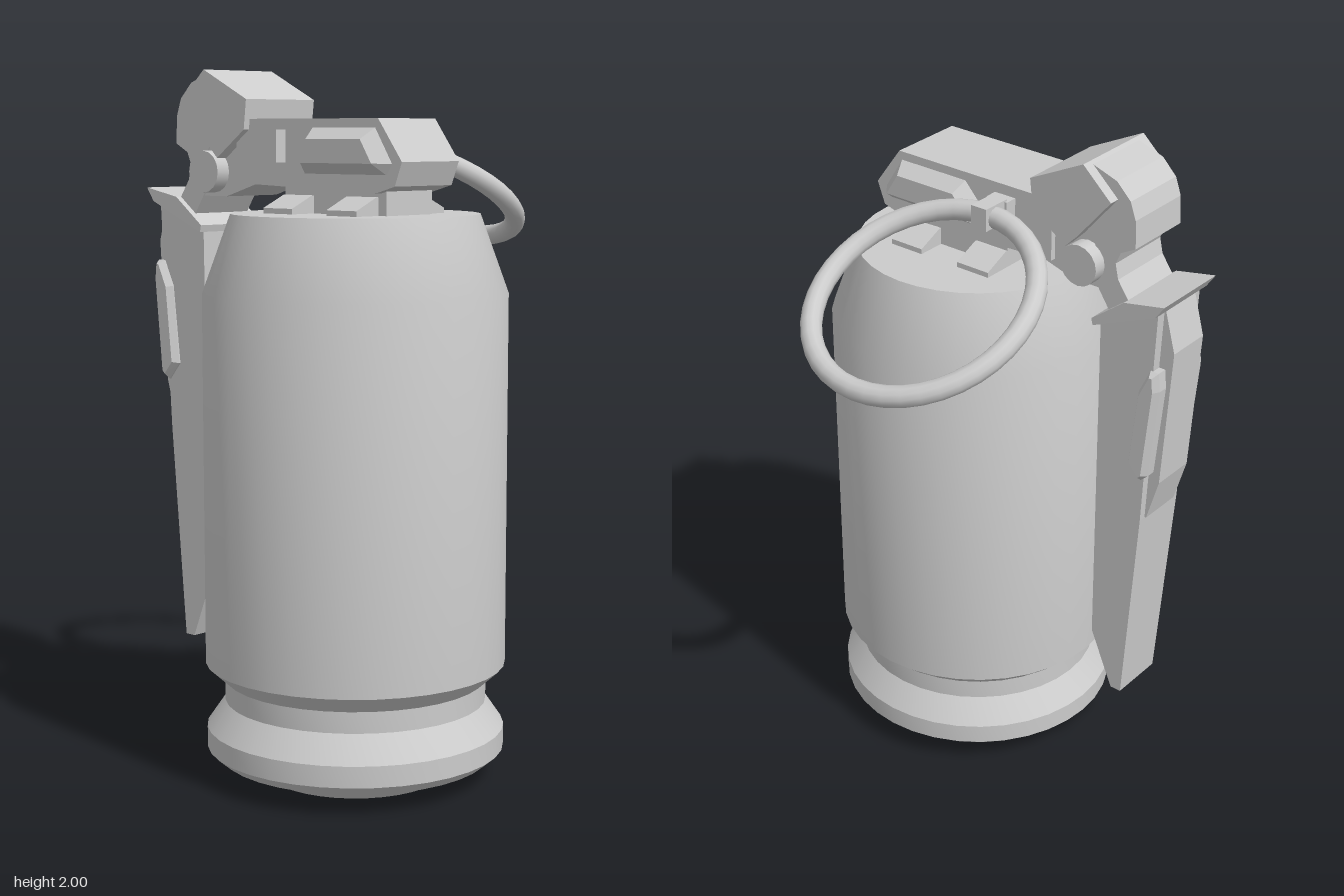
import * as THREE from 'three';
import { toCreasedNormals } from 'three/addons/utils/BufferGeometryUtils.js';

const CX = -0.18; // middle plane of the canister and its mechanism
const CZ = 0.15;

export function createModel() {
  const model = new THREE.Group();
  const material = new THREE.MeshStandardMaterial({ color: 0xcccccc });

  function add(name, geometry, x = 0, y = 0, z = 0) {
    const mesh = new THREE.Mesh(geometry, material);
    mesh.name = name;
    mesh.position.set(x, y, z);
    model.add(mesh);
    return mesh;
  }
  const toShape = (points) => new THREE.Shape(points.map(([a, b]) => new THREE.Vector2(a, b)));

  // Side profile of [z, y] points, extruded across x about the middle plane
  function slab(name, points, width, bevel = 0, inset = bevel) {
    const depth = width - 2 * bevel;
    const geometry = new THREE.ExtrudeGeometry(toShape(points), {
      depth, bevelEnabled: bevel > 0, bevelThickness: bevel,
      bevelSize: inset, bevelOffset: -inset, bevelSegments: 1,
    });
    geometry.translate(0, 0, -depth / 2);
    geometry.rotateY(-Math.PI / 2);
    return add(name, geometry, CX);
  }
  const box = (name, w, h, d, x, y, z) => add(name, new THREE.BoxGeometry(w, h, d), x, y, z);

  // Canister with grooved base and sloping shoulder
  const profile = [
    [0, 0], [0.26, 0], [0.315, 0.05], [0.39, 0.055], [0.425, 0.085], [0.425, 0.145],
    [0.373, 0.22], [0.373, 0.28], [0.428, 0.33], [0.428, 1.38], [0.348, 1.6], [0, 1.6],
  ].map(([r, y]) => new THREE.Vector2(r, y));
  add('canister', toCreasedNormals(new THREE.LatheGeometry(profile, 36), 0.4), CX, 0, CZ);

  // Neck and sloped feet on the canister top
  box('neck', 0.186, 0.1, 0.38, CX, 1.64, 0.16);
  for (const z of [0.265, 0.025]) {
    const foot = new THREE.ExtrudeGeometry(
      toShape([[-0.18, 1.595], [0.18, 1.595], [0.18, 1.615], [0.1, 1.65], [-0.1, 1.65], [-0.18, 1.615]]),
      { depth: 0.11, bevelEnabled: false });
    add('foot', foot, CX, 0, z - 0.055);
  }

  // Fuse head with raised side panels
  slab('fuseHead', [
    [0.425, 1.745], [0.34, 1.86], [-0.15, 1.86], [-0.2, 1.8], [-0.2, 1.68], [0.33, 1.66], [0.4, 1.68],
  ], 0.234);
  slab('sidePanels', [
    [0.39, 1.74], [0.33, 1.835], [0.1, 1.835], [0.05, 1.78], [0.07, 1.71], [0.37, 1.71],
  ], 0.32, 0.042, 0.03);

  // Hinge bracket and pivot pin
  slab('hingeBracket', [
    [-0.13, 1.84], [-0.32, 1.82], [-0.38, 1.72], [-0.36, 1.64], [-0.26, 1.64], [-0.13, 1.68],
  ], 0.2);
  const pin = new THREE.CylinderGeometry(0.06, 0.06, 0.29, 16);
  pin.rotateZ(Math.PI / 2);
  add('pivotPin', toCreasedNormals(pin, 0.6), CX, 1.71, -0.31);

  // Folded hood and the narrower strap curling down behind it
  slab('hood', [
    [-0.14, 1.915], [-0.313, 2], [-0.405, 1.915], [-0.3, 1.79], [-0.26, 1.75], [-0.15, 1.83],
  ], 0.275);
  slab('strap', [
    [-0.313, 1.995], [-0.4, 1.965], [-0.445, 1.92], [-0.463, 1.87], [-0.467, 1.79], [-0.42, 1.765],
    [-0.405, 1.73], [-0.415, 1.685], [-0.46, 1.62], [-0.4, 1.57], [-0.34, 1.66], [-0.34, 1.76], [-0.3, 1.82],
  ], 0.21);

  // Safety lever: flared collar, tapering blade, rear rib and side bosses
  slab('leverCollar', [
    [-0.345, 1.555], [-0.35, 1.535], [-0.55, 1.62], [-0.578, 1.66], [-0.45, 1.635],
  ], 0.248);
  const blade = slab('leverBlade', [
    [-0.36, 1.54], [-0.545, 1.62], [-0.515, 0.95], [-0.47, 0.31], [-0.435, 0.31], [-0.36, 0.49],
  ], 0.2);
  const pos = blade.geometry.attributes.position;
  for (let i = 0; i < pos.count; i++) {
    pos.setX(i, pos.getX(i) * (0.83 + 0.17 * Math.min(1, pos.getY(i) / 1.54)));
  }
  blade.geometry.computeVertexNormals();
  slab('leverRib', [
    [-0.48, 1.6], [-0.55, 1.62], [-0.583, 1.5], [-0.557, 1.08], [-0.52, 0.95], [-0.48, 0.95],
  ], 0.14);
  slab('leverBosses', [
    [-0.495, 1.37], [-0.53, 1.445], [-0.557, 1.445], [-0.563, 1.39], [-0.537, 1.11], [-0.515, 1.09], [-0.472, 1.14],
  ], 0.24, 0.02, 0.012);

  // Pull pin, its end stop and lug
  box('pinStop', 0.31, 0.09, 0.07, CX, 1.785, -0.04);
  box('pinLug', 0.09, 0.065, 0.052, 0.01, 1.803, -0.042);

  // Tilted pull ring
  const ring = new THREE.TorusGeometry(0.316, 0.03, 12, 40);
  ring.rotateX(Math.PI / 2);
  ring.rotateZ(-0.488);
  add('pullRing', ring, 0.293, 1.652, -0.042);

  return model;
}
